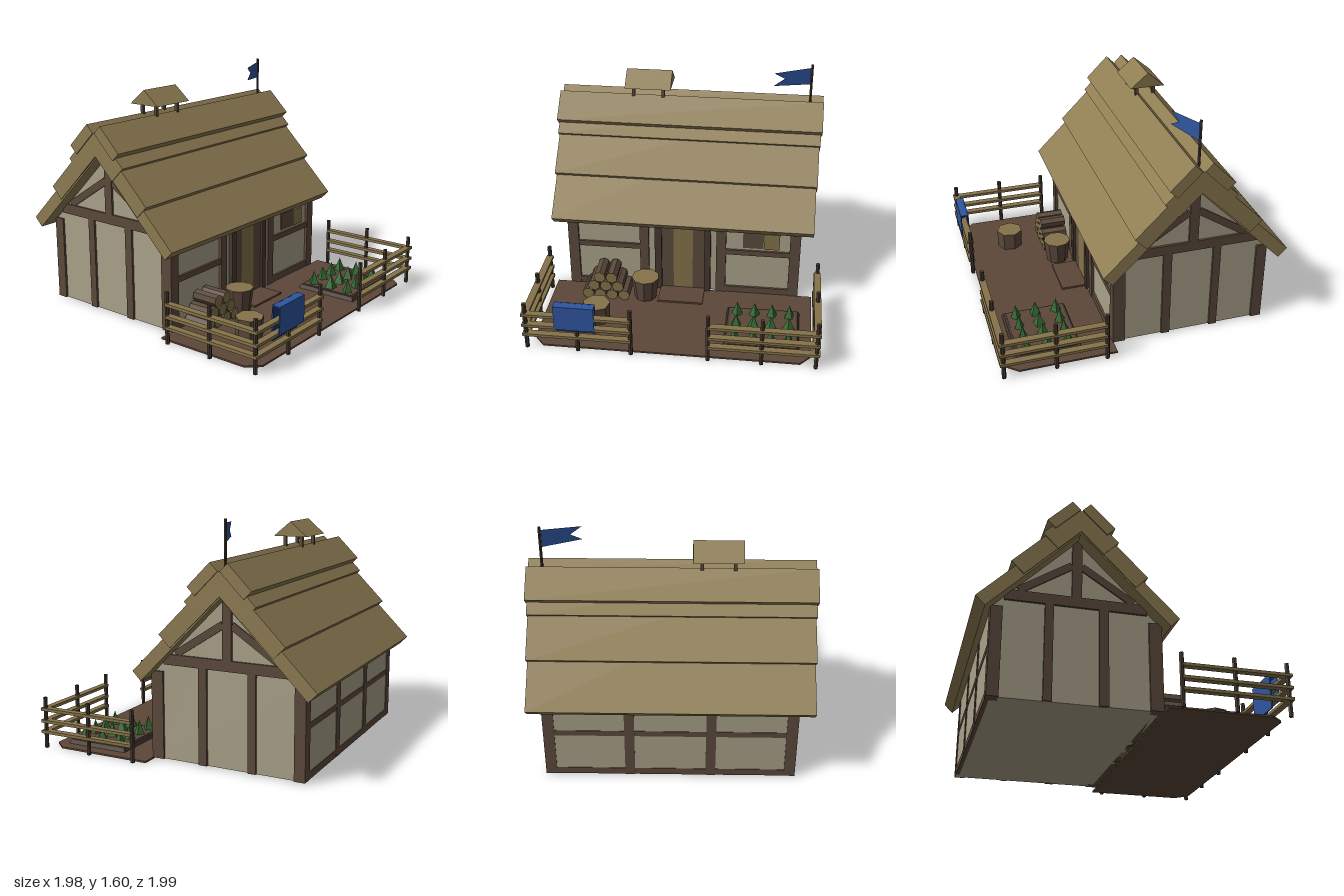
import * as THREE from 'three';

const mat = (name, color) => {
  const m = new THREE.MeshStandardMaterial({ color, flatShading: true });
  m.name = name;
  return m;
};

export function createModel() {
  const thatch = mat('thatch', 0x8f7d53);
  const timber = mat('timber', 0x5c4a3c);
  const darkTimber = mat('darkTimber', 0x46382f);
  const plaster = mat('plaster', 0xaaa28a);
  const doorWood = mat('doorWood', 0x85734a);
  const earth = mat('earth', 0x5c4738);
  const blue = mat('blueCloth', 0x2f559f);
  blue.side = THREE.DoubleSide;
  const blueInner = mat('blueClothInner', 0x1f3768);
  const leaf = mat('leaf', 0x356b35);

  const root = new THREE.Group();
  const group = (name) => {
    const g = new THREE.Group();
    g.name = name;
    root.add(g);
    return g;
  };
  const add = (parent, name, geo, m, x = 0, y = 0, z = 0) => {
    const mesh = new THREE.Mesh(geo, m);
    mesh.name = name;
    mesh.position.set(x, y, z);
    parent.add(mesh);
    return mesh;
  };
  // Box given by its minimum and maximum on each axis
  const box = (parent, name, m, x0, x1, y0, y1, z0, z1) =>
    add(parent, name, new THREE.BoxGeometry(x1 - x0, y1 - y0, z1 - z0), m,
      (x0 + x1) / 2, (y0 + y1) / 2, (z0 + z1) / 2);
  const RIDGE = -0.355;

  // Plaster body with gables (section in z and y, extruded along x)
  const house = group('house');
  const section = new THREE.Shape(
    [[-0.175, 0.01], [0.885, 0.01], [0.885, 0.6], [0.355, 1.13], [-0.175, 0.6]]
      .map(([a, b]) => new THREE.Vector2(a, b)));
  const body = new THREE.ExtrudeGeometry(section, { depth: 1.65, bevelEnabled: false });
  body.rotateY(Math.PI / 2).translate(-0.825, 0, 0);
  add(house, 'walls', body, plaster);

  // Corner posts
  for (const s of [-1, 1]) {
    const x0 = s < 0 ? -0.84 : 0.765;
    box(house, 'cornerPost', timber, x0, x0 + 0.075, 0.01, 0.6, 0.11, 0.195);
    box(house, 'cornerPost', timber, x0, x0 + 0.075, 0.01, 0.6, -0.89, -0.815);
  }

  // Timber framing on both gable ends
  for (const s of [-1, 1]) {
    const end = (name, y0, y1, z0, z1) =>
      box(house, name, timber, Math.min(s * 0.8, s * 0.84), Math.max(s * 0.8, s * 0.84), y0, y1, z0, z1);
    end('gablePost', 0.01, 0.65, -0.21, -0.15);
    end('gablePost', 0.01, 0.65, -0.555, -0.5);
    end('gableBeam', 0.65, 0.72, -0.81, 0.1);
    end('kingPost', 0.72, 1.12, -0.387, -0.323);
    for (const d of [-1, 1]) {
      const brace = add(house, 'gableBrace', new THREE.BoxGeometry(0.03, 0.05, 0.4), timber,
        s * 0.82, 0.835, RIDGE + d * 0.2);
      brace.rotation.x = d * 0.575;
    }
  }

  // Front framing
  for (const [a, b] of [[-0.315, -0.25], [0.24, 0.31]])
    box(house, 'frontPost', timber, a, b, 0.01, 0.6, 0.15, 0.195);
  for (const [a, b] of [[-0.765, -0.315], [0.31, 0.765]]) {
    box(house, 'frontSill', timber, a, b, 0.01, 0.06, 0.15, 0.19);
    box(house, 'frontRail', timber, a, b, 0.335, 0.375, 0.15, 0.19);
  }

  // Back framing
  for (const x of [-0.27, 0.27])
    box(house, 'backPost', timber, x - 0.033, x + 0.033, 0.01, 0.6, -0.89, -0.86);
  box(house, 'backSill', timber, -0.765, 0.765, 0.01, 0.06, -0.888, -0.86);
  box(house, 'backRail', timber, -0.765, 0.765, 0.335, 0.375, -0.888, -0.86);

  // Door with frame and three planks
  const door = group('door');
  box(door, 'doorFrame', darkTimber, -0.205, -0.155, 0.01, 0.6, 0.15, 0.205);
  box(door, 'doorFrame', darkTimber, 0.155, 0.2, 0.01, 0.6, 0.15, 0.205);
  box(door, 'doorPlank', timber, -0.155, -0.07, 0.01, 0.6, 0.15, 0.187);
  box(door, 'doorPlank', doorWood, -0.07, 0.07, 0.01, 0.6, 0.15, 0.187);
  box(door, 'doorPlank', timber, 0.07, 0.155, 0.01, 0.6, 0.15, 0.187);

  // Window with open shutter
  box(house, 'window', timber, 0.43, 0.577, 0.395, 0.52, 0.174, 0.183);
  box(house, 'shutter', doorWood, 0.58, 0.692, 0.395, 0.52, 0.174, 0.19);

  // Thatch: overlapping slabs at 45 degrees. [y+z of top face, y-z at lower end, thickness, half width]
  const roof = group('roof');
  const layers = [[0.89, 0.32, 0.085, 0.928], [0.945, 0.785, 0.113, 0.935],
    [0.98, 1.2, 0.14, 0.941], [1.05, 1.32, 0.075, 0.95]];
  for (const [sum, low, t, half] of layers) {
    const high = 1.64;
    const a = sum - t * Math.SQRT1_2, b = (low + high) / 2;
    const y = (a + b) / 2, z = (a - b) / 2;
    for (const s of [-1, 1]) {
      const geo = new THREE.BoxGeometry(half * 2, t, (high - low) * Math.SQRT1_2);
      const slab = add(roof, 'thatchLayer', geo, thatch, -0.004, y, RIDGE + s * (z - RIDGE));
      slab.rotation.x = s * Math.PI / 4;
    }
  }

  // Smoke vent with its own little roof
  const vent = group('smokeVent');
  const tri = new THREE.Shape([[0.23, 1.41], [0.48, 1.41], [0.355, 1.515]]
    .map(([a, b]) => new THREE.Vector2(a, b)));
  const cap = new THREE.ExtrudeGeometry(tri, { depth: 0.33, bevelEnabled: false });
  cap.rotateY(Math.PI / 2).translate(-0.47, 0, 0);
  add(vent, 'ventRoof', cap, thatch);
  for (const x of [-0.415, -0.2])
    for (const d of [-0.062, 0.062])
      box(vent, 'ventPost', timber, x - 0.011, x + 0.011, 1.28, 1.42, RIDGE + d - 0.011, RIDGE + d + 0.011);

  // Flag with swallow tail
  const flag = group('flag');
  add(flag, 'flagPole', new THREE.CylinderGeometry(0.01, 0.01, 0.34, 6), darkTimber, 0.85, 1.43, RIDGE);
  const pennant = new THREE.Shape([[0, 1.578], [-0.28, 1.562], [-0.2, 1.515], [-0.28, 1.468], [0, 1.455]]
    .map(([a, b]) => new THREE.Vector2(a, b)));
  add(flag, 'pennant', new THREE.ShapeGeometry(pennant), blue, 0.85, 0, RIDGE).rotation.y = 0.345;

  // Yard with cut front corners
  const yard = group('yard');
  const plot = new THREE.Shape([[-0.94, -0.19], [-0.94, -0.86], [-0.865, -0.945], [0.865, -0.945],
    [0.94, -0.86], [0.94, -0.19]].map(([a, b]) => new THREE.Vector2(a, b)));
  add(yard, 'ground', new THREE.ExtrudeGeometry(plot, { depth: 0.012, bevelEnabled: false })
    .rotateX(-Math.PI / 2), earth);
  box(yard, 'doorStep', earth, -0.165, 0.16, 0.01, 0.025, 0.19, 0.375);

  // Vegetable bed: sloped border and soil
  const bedGeo = new THREE.BoxGeometry(0.52, 0.035, 0.46);
  const p = bedGeo.attributes.position;
  for (let i = 0; i < p.count; i++)
    if (p.getY(i) > 0) p.setXYZ(i, p.getX(i) * 0.94, p.getY(i), p.getZ(i) * 0.94);
  add(yard, 'bedBorder', bedGeo, darkTimber, 0.6, 0.0225, 0.635);
  box(yard, 'bedSoil', earth, 0.37, 0.83, 0.02, 0.044, 0.435, 0.835);
  [[0.49, 0.04], [0.635, 0.046], [0.775, 0.038]].forEach(([z, r], j) => {
    for (let i = 0; i < 4; i++) {
      const plant = add(yard, 'plant', new THREE.ConeGeometry(r, 0.1, 4), leaf, 0.42 + i * 0.121, 0.092, z);
      plant.rotation.y = (i * 1.7 + j * 2.3) % 1.5;
    }
  });

  // Fence: posts, then three flat rails per run
  const fence = group('fence');
  const posts = [[-0.62, 0.965], [-0.26, 0.965], [0.255, 0.965], [0.61, 0.965]];
  for (const s of [-1, 1]) for (const z of [0.27, 0.615, 0.965]) posts.push([s * 0.968, z]);
  for (const [x, z] of posts)
    add(fence, 'fencePost', new THREE.CylinderGeometry(0.015, 0.015, 0.355, 6), darkTimber, x, 0.178, z);
  for (const y of [0.115, 0.19, 0.273]) {
    box(fence, 'frontFenceRail', doorWood, -0.99, -0.255, y - 0.01, y + 0.01, 0.943, 0.99);
    box(fence, 'frontFenceRail', doorWood, 0.255, 0.99, y - 0.01, y + 0.01, 0.943, 0.99);
    for (const s of [-1, 1])
      box(fence, 'sideFenceRail', doorWood, s * 0.966 - 0.024, s * 0.966 + 0.024, y - 0.01, y + 0.01, 0.27, 0.96);
  }

  // Cloth hung over the fence
  const cloth = group('blanket');
  box(cloth, 'blanketFront', blue, -0.765, -0.495, 0.185, 0.368, 0.99, 0.997);
  box(cloth, 'blanketTop', blue, -0.765, -0.495, 0.36, 0.368, 0.945, 0.99);
  box(cloth, 'blanketBack', blue, -0.765, -0.495, 0.135, 0.368, 0.937, 0.944);
  box(cloth, 'blanketLining', blueInner, -0.765, -0.495, 0.135, 0.36, 0.944, 0.946);

  // Round wood pieces: bark on the side, pale cut ends
  const log = (parent, name, rTop, rBottom, h, n, x, y, z) =>
    add(parent, name, new THREE.CylinderGeometry(rTop, rBottom, h, n), [timber, doorWood, doorWood], x, y, z);

  // Firewood stack
  const stack = group('firewood');
  for (let row = 0; row < 3; row++)
    for (let i = 0; i < 4 - row; i++) {
      const l = log(stack, 'log', 0.043, 0.043, 0.19, 7,
        -0.67 + i * 0.087 + row * 0.0435, 0.052 + row * 0.072, 0.29);
      l.rotation.set(Math.PI / 2, (i * 1.3 + row) % 0.8, 0);
    }

  // Chopping stump and barrel
  log(yard, 'stump', 0.097, 0.092, 0.135, 7, -0.56, 0.078, 0.62);
  log(yard, 'barrel', 0.1, 0.078, 0.17, 9, -0.26, 0.095, 0.31);
  return root;
}
